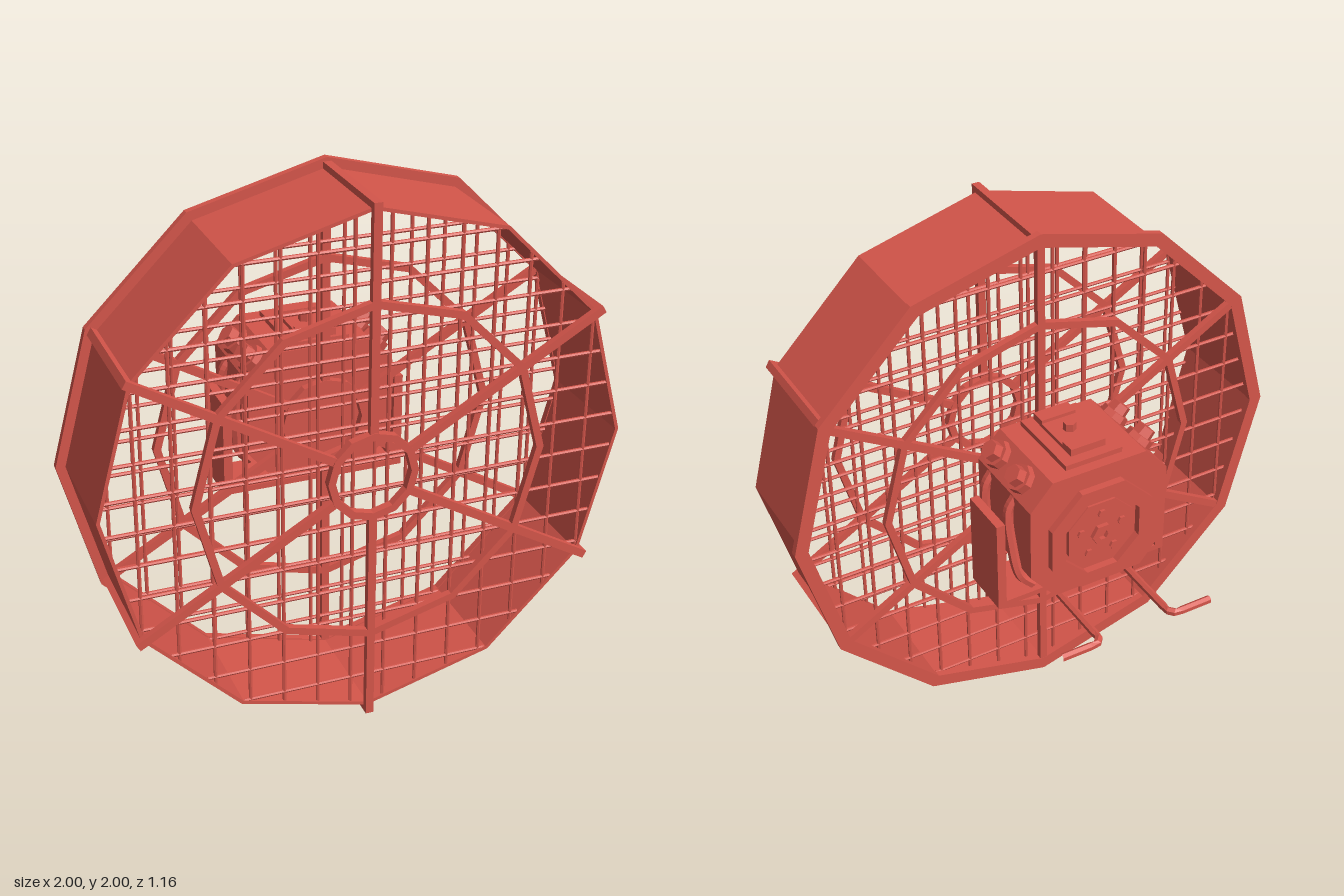
import * as THREE from 'three';

const red = new THREE.MeshStandardMaterial({ color: 0xd4554a });
red.name = 'red paint';
red.flatShading = true;

const CY = 1; // height of the fan axis

function add(parent, geo, name, x = 0, y = 0, z = 0) {
  const m = new THREE.Mesh(geo, red);
  m.name = name;
  m.position.set(x, y, z);
  parent.add(m);
  return m;
}

const polygon = (r, n, turn = 0) => Array.from({ length: n }, (_, i) => {
  const a = turn + i * 2 * Math.PI / n;
  return new THREE.Vector2(r * Math.cos(a), r * Math.sin(a));
});

// Flat polygon or polygonal ring running from z0 to z1
function ring(ro, ri, z0, z1, n = 12, turn = 0) {
  const s = new THREE.Shape(polygon(ro, n, turn));
  if (ri) s.holes.push(new THREE.Path(polygon(ri, n, turn)));
  return new THREE.ExtrudeGeometry(s, { depth: z1 - z0, bevelEnabled: false }).translate(0, 0, z0);
}

const box = (x0, x1, y0, y1, z0, z1) => new THREE.BoxGeometry(x1 - x0, y1 - y0, z1 - z0)
  .translate((x0 + x1) / 2, (y0 + y1) / 2, (z0 + z1) / 2);

// Half length of a wire at a given offset inside the twelve-sided shroud
function halfChord(d, r) {
  const apothem = r * Math.cos(Math.PI / 12);
  let t = Infinity;
  for (let k = 0; k < 12; k++) {
    const a = Math.PI / 12 + k * Math.PI / 6;
    if (Math.sin(a) > 0.01) t = Math.min(t, (apothem - d * Math.cos(a)) / Math.sin(a));
  }
  return t;
}

// Guard: spokes, rings and wire mesh; wires sit on the inner side
function guard(name, z0, z1, wireZ, reach) {
  const g = new THREE.Group();
  g.name = name;
  for (let i = 0; i < 6; i++) {
    const spoke = add(g, box(-0.015, 0.015, 0.15, reach, z0, z1), 'spoke');
    spoke.rotation.z = i * Math.PI / 3;
  }
  add(g, ring(0.65, 0.622, z0, z1), 'middleRing');
  add(g, ring(0.168, 0.14, z0 - 0.003, z1 + 0.003), 'hubRing');
  for (let i = 0; i < 14; i++) {
    const d = (i - 6.5) * 0.1275;
    const h = halfChord(d, 0.955);
    const wire = new THREE.CylinderGeometry(0.007, 0.007, 2 * h, 6);
    add(g, wire, 'verticalWire', d, 0, wireZ);
    add(g, wire, 'horizontalWire', 0, d, wireZ).rotation.z = Math.PI / 2;
  }
  g.position.y = CY;
  return g;
}

// Bolt with washer, pointing up +y
function bolt() {
  const g = new THREE.Group();
  g.name = 'bolt';
  add(g, new THREE.CylinderGeometry(0.052, 0.056, 0.03, 8), 'washer', 0, 0.012, 0);
  add(g, new THREE.CylinderGeometry(0.036, 0.04, 0.04, 6), 'boltHead', 0, 0.042, 0);
  return g;
}

const tube = (pts, r) => {
  const path = new THREE.CurvePath();
  for (let i = 1; i < pts.length; i++) path.add(new THREE.LineCurve3(pts[i - 1], pts[i]));
  return path;
};

function pipe(points, radius, smooth) {
  const pts = points.map(p => new THREE.Vector3(...p));
  const curve = smooth ? new THREE.CatmullRomCurve3(pts) : tube(pts);
  return new THREE.TubeGeometry(curve, 24, radius, 6);
}

function motor() {
  const g = new THREE.Group();
  g.name = 'motor';

  // Chamfered housing
  const profile = [[0.18, 0.77], [0.28, 0.89], [0.28, 1.18], [0.19, 1.28],
    [-0.19, 1.28], [-0.28, 1.18], [-0.28, 0.89], [-0.18, 0.77]].map(p => new THREE.Vector2(...p));
  add(g, new THREE.ExtrudeGeometry(new THREE.Shape(profile), { depth: 0.38, bevelEnabled: false }),
    'housing', 0, 0, -0.3);

  // Octagonal back cover with raised rim, boss and bolts
  const t8 = Math.PI / 8;
  add(g, ring(0.225, 0.165, -0.328, -0.3, 8, t8), 'backCoverRim', 0, CY, 0);
  add(g, ring(0.145, 0, -0.316, -0.3, 8, t8), 'backCoverPlate', 0, CY, 0);
  add(g, ring(0.045, 0.02, -0.332, -0.316, 6), 'backBoss', 0, CY, 0);
  for (const p of polygon(0.088, 5, Math.PI / 2)) {
    add(g, ring(0.018, 0, -0.326, -0.316, 6), 'coverBolt', p.x, CY + p.y, 0);
  }

  // Top lid with raised ends and a knob
  add(g, box(-0.115, 0.115, 1.28, 1.3, -0.26, 0.06), 'lidBase');
  add(g, box(-0.07, 0.07, 1.3, 1.315, -0.22, 0.045), 'lid');
  for (const z of [-0.19, 0.015]) add(g, box(-0.07, 0.07, 1.315, 1.328, z - 0.03, z + 0.03), 'lidRidge');
  add(g, new THREE.CylinderGeometry(0.024, 0.024, 0.035, 6), 'lidKnob', 0, 1.328, -0.09);

  // Cradle and pedestal
  add(g, box(-0.355, 0.355, 0.7, 0.722, -0.19, 0.01), 'cradleBase');
  add(g, box(-0.1, 0.1, 0.72, 0.78, -0.18, 0), 'pedestal');

  for (const s of [-1, 1]) {
    add(g, box(s * 0.338 - 0.017, s * 0.338 + 0.017, 0.7, 1.075, -0.19, 0.01), 'cradleSide');
    // Angled bolts and side hoses
    for (const z of [0, -0.17]) {
      const b = bolt();
      b.position.set(s * 0.235, 1.23, z);
      b.rotation.z = -s * Math.PI / 4;
      g.add(b);
      const shift = z ? -0.07 : -0.03;
      add(g, pipe([[s * 0.265, 1.17, z], [s * 0.295, 1.12, z], [s * 0.3, 0.98, z + shift * 0.4],
        [s * 0.285, 0.86, z + shift * 0.85], [s * 0.24, 0.81, z + shift]], 0.019, true), 'sideHose');
    }
    // Bent rear pipe
    add(g, pipe([[s * 0.145, 0.74, -0.02], [s * 0.145, 0.74, -0.545], [s * 0.165, 0.74, -0.568],
      [s * 0.31, 0.74, -0.568]], 0.015, false), 'rearPipe');
  }
  return g;
}

export function createModel() {
  const model = new THREE.Group();
  model.name = 'industrialFan';

  // Shroud and rear flange
  add(model, ring(0.965, 0.952, 0.125, 0.556), 'shroud', 0, CY, 0);
  add(model, ring(1, 0.948, 0.105, 0.132), 'rearFlange', 0, CY, 0);

  // Straps along the outside corners of the shroud
  for (let i = 0; i < 6; i++) {
    const strap = add(model, box(-0.015, 0.015, 0.955, 0.985, 0.13, 0.578), 'shroudStrap', 0, CY, 0);
    strap.rotation.z = i * Math.PI / 3;
  }

  model.add(guard('frontGuard', 0.555, 0.58, 0.546, 0.985));
  model.add(guard('backGuard', 0.106, 0.131, 0.138, 0.95));
  model.add(motor());
  return model;
}
